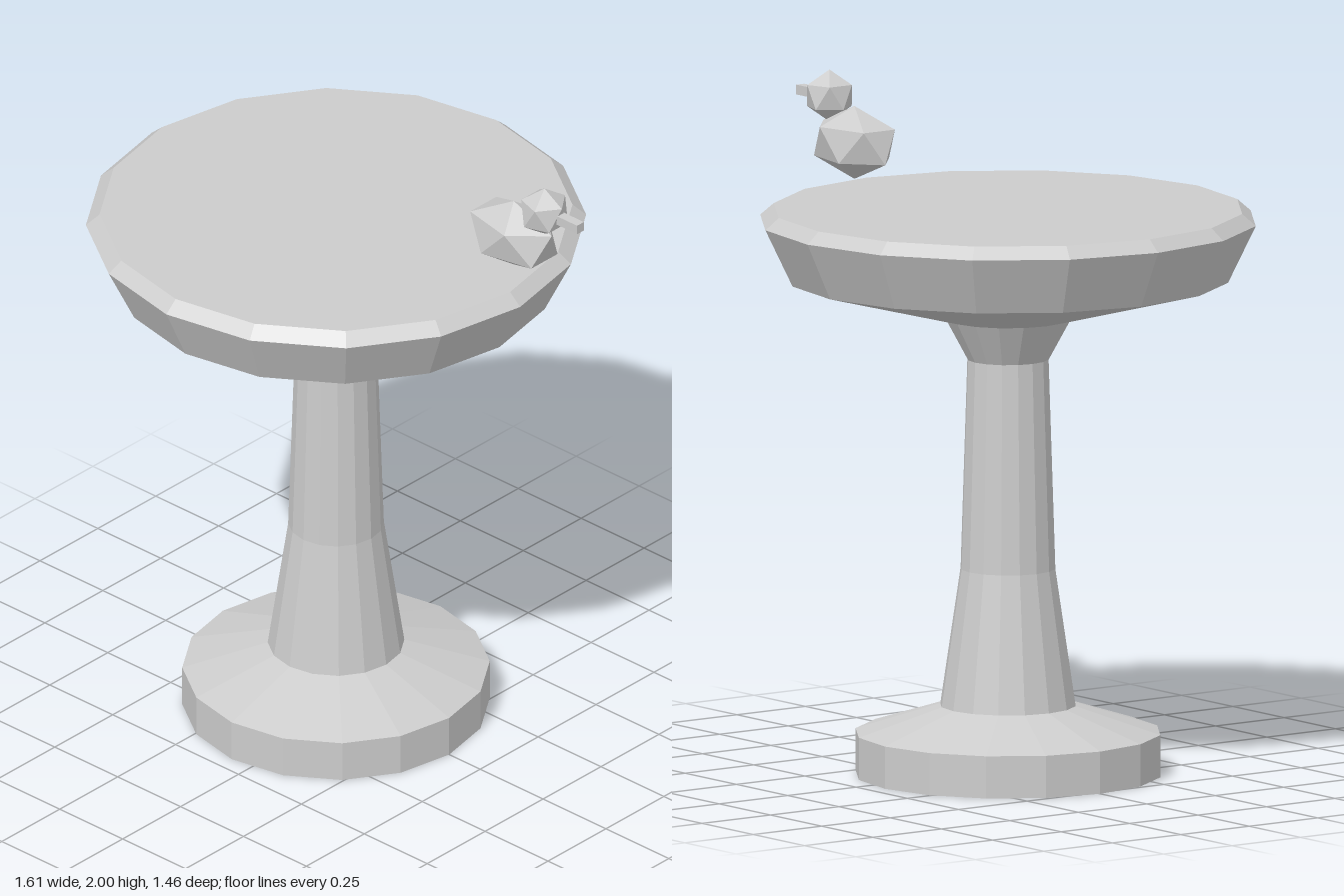
import * as THREE from 'three';

const stone = new THREE.MeshStandardMaterial({ color: 0xcccccc });
stone.name = 'stone grey';

// Faceted mesh: every triangle gets its own normal
function faceted(name, geometry, parent) {
  const flat = geometry.index ? geometry.toNonIndexed() : geometry;
  flat.computeVertexNormals();
  const mesh = new THREE.Mesh(flat, stone);
  mesh.name = name;
  parent.add(mesh);
  return mesh;
}

// Sixteen-sided turned part from [radius, height] pairs, bottom to top
function turned(name, profile, parent) {
  const points = profile.map(([r, y]) => new THREE.Vector2(r, y));
  return faceted(name, new THREE.LatheGeometry(points, 16), parent);
}

// Icosahedron standing on one corner, stretched to the given radii
function gem(name, [rx, ry, rz], [x, y, z], parent) {
  const geometry = new THREE.IcosahedronGeometry(1, 0);
  geometry.rotateZ(-Math.atan(2 / (1 + Math.sqrt(5))));
  geometry.scale(rx, ry, rz);
  faceted(name, geometry, parent).position.set(x, y, z);
}

export function createModel() {
  const model = new THREE.Group();
  model.name = 'birdBath';

  // Pedestal and basin share one axis
  const bath = new THREE.Group();
  bath.name = 'bath';
  bath.position.x = -0.073;
  model.add(bath);
  turned('base', [[0, 0], [0.45, 0], [0.45, 0.125], [0.2, 0.205]], bath);
  turned('stem', [[0.2, 0.205], [0.14, 0.61], [0.12, 1.23], [0.185, 1.35]], bath);
  turned('basin', [[0.185, 1.35], [0.65, 1.47], [0.732, 1.64], [0.692, 1.675]], bath);
  turned('waterSurface', [[0.692, 1.675], [0, 1.675]], bath);

  // Bird perched at the rim, facing +x
  const bird = new THREE.Group();
  bird.name = 'bird';
  bird.position.z = -0.102;
  model.add(bird);
  gem('birdBody', [0.168, 0.108, 0.108], [0.54, 1.8, 0], bird);
  gem('birdHead', [0.077, 0.077, 0.077], [0.662, 1.923, 0], bird);
  faceted('beak', new THREE.BoxGeometry(0.11, 0.029, 0.029), bird).position.set(0.75, 1.923, 0);

  return model;
}
